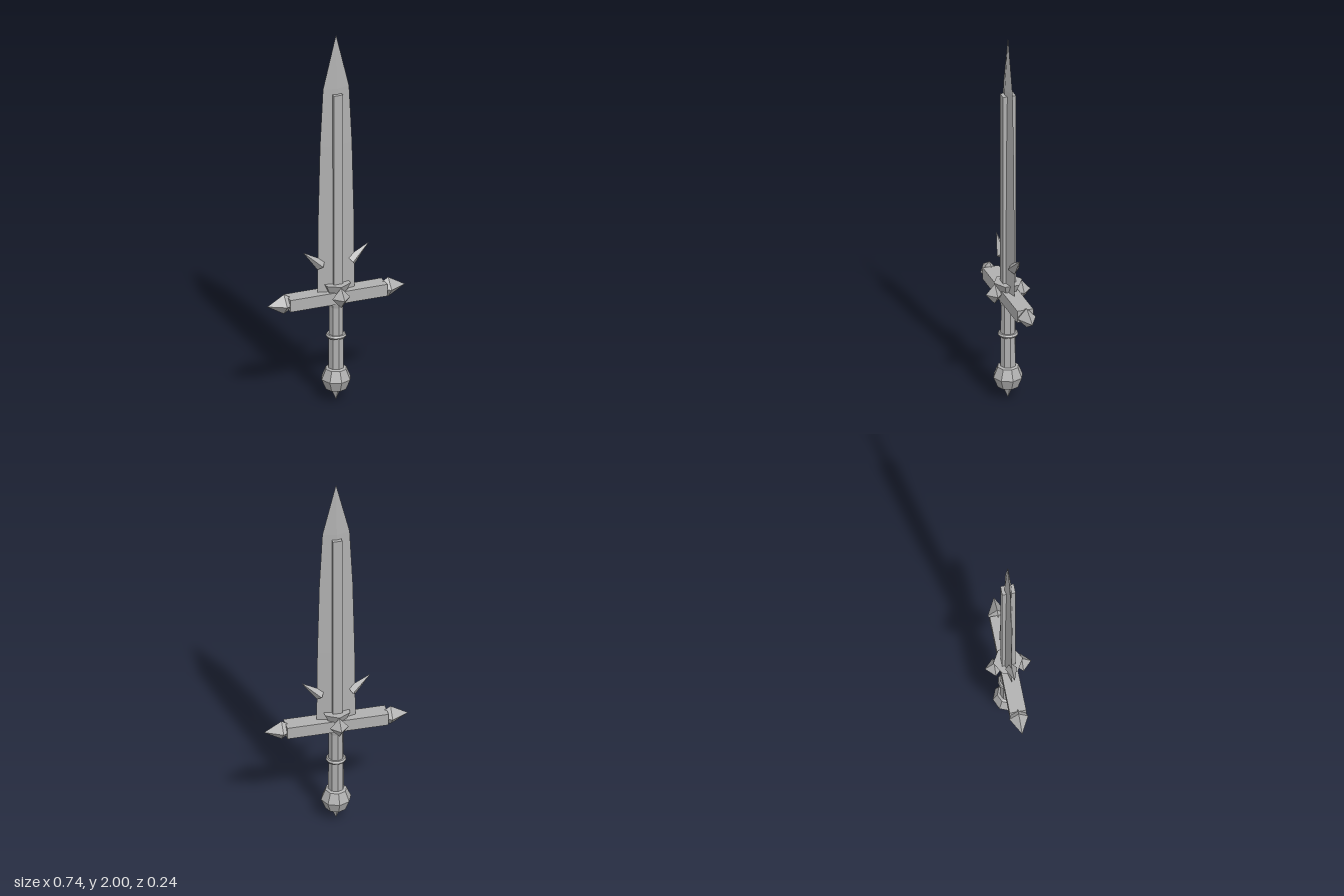
import * as THREE from 'three';

export function createModel() {
  const model = new THREE.Group();
  model.name = 'sword';
  const steel = new THREE.MeshStandardMaterial({ color: 0xb0b0b0, flatShading: true });
  steel.name = 'steel grey';

  const add = (name, geometry, x = 0, y = 0, z = 0) => {
    const mesh = new THREE.Mesh(geometry, steel);
    mesh.name = name;
    mesh.position.set(x, y, z);
    model.add(mesh);
    return mesh;
  };

  // Blade: tapering diamond section, flattened in depth
  const profile = [[0, 0.58], [0.1, 0.58], [0.096, 1.0], [0.086, 1.4], [0.07, 1.71], [0, 2]]
    .map(([r, y]) => new THREE.Vector2(r, y));
  add('blade', new THREE.LatheGeometry(profile, 4).scale(1, 1, 0.25));
  add('bladeRib', new THREE.BoxGeometry(0.048, 1.1, 0.068), 0, 1.13, 0);

  // Thorns rising from both blade edges
  for (const s of [-1, 1]) {
    const base = new THREE.Vector3(0.08 * s, 0.75, 0);
    const tip = new THREE.Vector3(0.178 * s, 0.835, 0);
    const dir = tip.clone().sub(base);
    const middle = base.clone().add(tip).multiplyScalar(0.5);
    const thorn = add('bladeThorn', new THREE.ConeGeometry(0.03, dir.length(), 4), middle.x, middle.y, 0);
    thorn.rotation.z = Math.atan2(-dir.x, dir.y);
  }

  // Crossguard with pointed ends and gems on the front and back
  add('crossguard', new THREE.BoxGeometry(0.52, 0.064, 0.084), 0, 0.572, 0);
  for (const s of [-1, 1]) {
    add('guardPoint', new THREE.OctahedronGeometry(1).scale(0.09, 0.053, 0.048), 0.28 * s, 0.57, 0);
    add('guardGem', new THREE.OctahedronGeometry(1).scale(0.048, 0.055, 0.048), 0, 0.585, 0.07 * s);
  }
  add('bladeCollar', new THREE.CylinderGeometry(0.075, 0.04, 0.07, 6), 0, 0.61, 0);

  // Grip with a ring
  add('gripCollar', new THREE.CylinderGeometry(0.045, 0.038, 0.03, 8), 0, 0.53, 0);
  add('grip', new THREE.CylinderGeometry(0.037, 0.041, 0.4, 8), 0, 0.36, 0);
  add('gripRing', new THREE.TorusGeometry(0.041, 0.011, 6, 12).rotateX(Math.PI / 2), 0, 0.355, 0);

  // Faceted pommel with a spike underneath
  add('pommel', new THREE.SphereGeometry(0.077, 8, 4), 0, 0.12, 0);
  add('pommelSpike', new THREE.ConeGeometry(0.03, 0.07, 4).rotateX(Math.PI), 0, 0.035, 0);

  return model;
}
